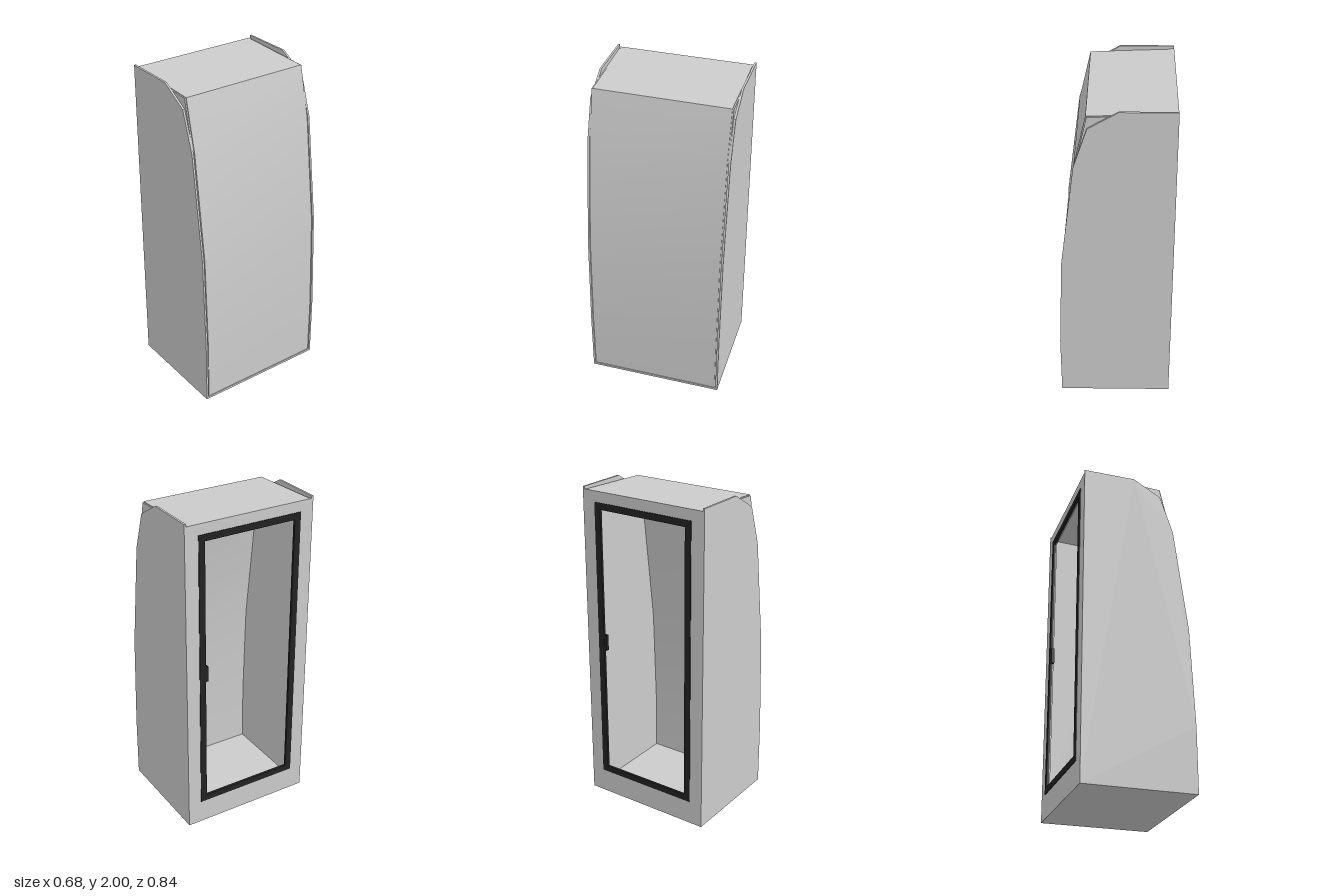
import * as THREE from 'three';
import { toCreasedNormals } from 'three/addons/utils/BufferGeometryUtils.js';

const grey = new THREE.MeshStandardMaterial({ color: 0xcccccc, side: THREE.DoubleSide });
const black = new THREE.MeshStandardMaterial({ color: 0x222222 });

const toShape = (pts) => new THREE.Shape(pts.map(([x, y]) => new THREE.Vector2(x, y)));

function rectPoints(halfWidth, y0, y1) {
  return [[-halfWidth, y0], [halfWidth, y0], [halfWidth, y1], [-halfWidth, y1]];
}

// Extrude a side profile (x, y) between two z positions
function extrudeZ(pts, z0, z1) {
  const geo = new THREE.ExtrudeGeometry(toShape(pts), { depth: z1 - z0, bevelEnabled: false });
  return toCreasedNormals(geo.translate(0, 0, z0), 0.35);
}

// Rectangular frame in the z/y plane, from x0 outwards to x1 (x1 < x0)
function frameX(outer, inner, x0, x1) {
  const shape = toShape(outer);
  shape.holes.push(toShape(inner));
  const geo = new THREE.ExtrudeGeometry(shape, { depth: x0 - x1, bevelEnabled: false });
  return geo.rotateY(-Math.PI / 2).translate(x0, 0, 0);
}

export function createModel() {
  const model = new THREE.Group();
  const add = (name, geo, mat = grey) => {
    const mesh = new THREE.Mesh(geo, mat);
    mesh.name = name;
    model.add(mesh);
  };

  // Outer side panels with a chamfered top and bowed edge
  const panel = [[-0.34, 0], [0.34, 0], [0.34, 0.4], [0.315, 1.0], [0.23, 1.66],
    [0.15, 1.9], [-0.02, 2], [-0.34, 2]];
  // Curved door outline running into the slightly sloped roof
  const skin = [[0.335, 0.015], [0.335, 0.4], [0.311, 1.0], [0.228, 1.66], [0.157, 1.967], [-0.34, 1.985]];
  const inside = [[-0.34, 1.97], [0.144, 1.952], [0.214, 1.657], [0.297, 1.0], [0.321, 0.4], [0.321, 0.015]];
  // Liner sits just behind the skin, leaving a thin groove beside each panel
  const liner = [[-0.335, 0.01], ...skin.map(([x, y]) => [x - 0.005, y - 0.004])];
  liner[liner.length - 1][0] = -0.335;

  for (const [side, s] of [['front', 1], ['rear', -1]]) {
    const span = (a, b) => (s > 0 ? [a, b] : [-b, -a]);
    add(side + 'SidePanel', extrudeZ(panel, ...span(0.408, 0.42)));
    add(side + 'Liner', extrudeZ(liner, ...span(0.396, 0.408)));
  }

  // Bowed skin and roof as one continuous sheet
  add('curvedSkinAndRoof', extrudeZ([...skin, ...inside], -0.4, 0.4));

  // Floor plate
  add('floor', new THREE.BoxGeometry(0.68, 0.015, 0.816).translate(0, 0.0075, 0));

  // Open face with its surround, gasket and latch
  add('openingSurround', frameX(rectPoints(0.408, 0.015, 1.984), rectPoints(0.3, 0.185, 1.885), -0.322, -0.34));
  add('gasket', frameX(rectPoints(0.335, 0.15, 1.92), rectPoints(0.295, 0.19, 1.88), -0.33, -0.344), black);
  add('latch', new THREE.BoxGeometry(0.02, 0.1, 0.02).translate(-0.332, 1.05, -0.288), black);

  return model;
}
